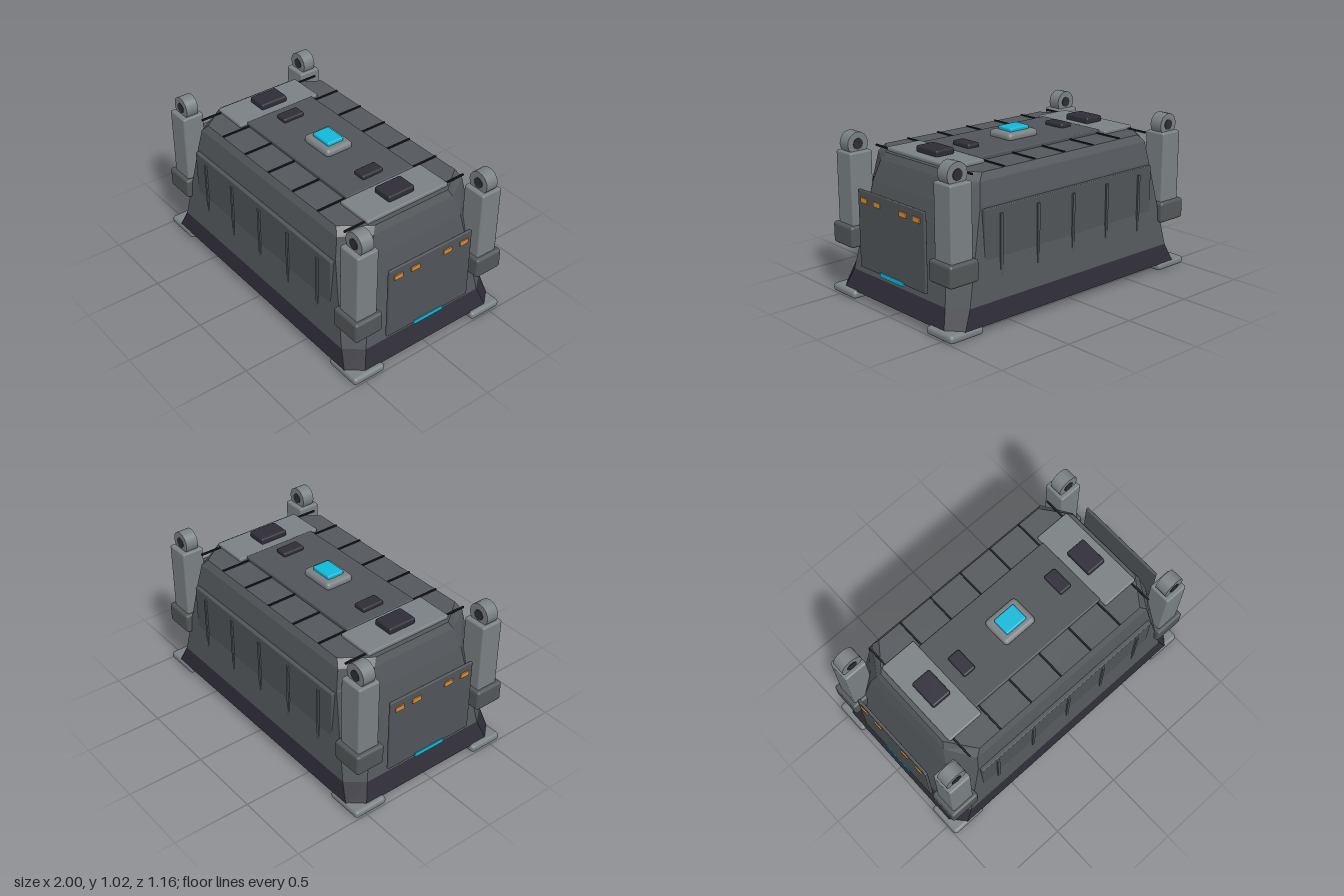
import * as THREE from 'three';
import { RoundedBoxGeometry } from 'three/addons/geometries/RoundedBoxGeometry.js';

const mat = (name, color, extra = {}) => {
  const m = new THREE.MeshStandardMaterial({ color, ...extra });
  m.name = name;
  return m;
};

// Flat-shaded loft through chamfered rectangles: [y, halfX, halfZ, cornerX, cornerZ]
function loft(sections, capTop, capBottom) {
  const rings = sections.map(([y, X, Z, cx, cz]) =>
    [[X, cz], [X, -cz], [cx, -Z], [-cx, -Z], [-X, -cz], [-X, cz], [-cx, Z], [cx, Z]].map(([x, z]) => [x, y, z]));
  const p = [];
  const tri = (a, b, c) => p.push(...a, ...b, ...c);
  for (let r = 0; r < rings.length - 1; r++) {
    const lo = rings[r], hi = rings[r + 1];
    for (let i = 0; i < 8; i++) {
      const j = (i + 1) % 8;
      tri(lo[i], lo[j], hi[j]);
      tri(lo[i], hi[j], hi[i]);
    }
  }
  const top = rings[rings.length - 1], bottom = rings[0];
  for (let i = 1; i < 7; i++) {
    if (capTop) tri(top[0], top[i], top[i + 1]);
    if (capBottom) tri(bottom[0], bottom[i + 1], bottom[i]);
  }
  const g = new THREE.BufferGeometry();
  g.setAttribute('position', new THREE.Float32BufferAttribute(p, 3));
  g.computeVertexNormals();
  return g;
}

export function createModel() {
  const root = new THREE.Group();
  root.name = 'cargoContainer';

  const hullGrey = mat('hullGrey', 0x54585c, { flatShading: true });
  const panelGrey = mat('panelGrey', 0x505458);
  const lightGrey = mat('lightGrey', 0x7a8083);
  const collarGrey = mat('collarGrey', 0x525658);
  const dark = mat('darkTrim', 0x2e2d37);
  const black = mat('seamBlack', 0x1c1c20);
  const cyan = mat('cyanLight', 0x10b8d8);
  const orange = mat('orangeLight', 0xd98e30);

  const add = (name, geo, material, x = 0, y = 0, z = 0, parent = root) => {
    const m = new THREE.Mesh(geo, material);
    m.name = name;
    m.position.set(x, y, z);
    parent.add(m);
    return m;
  };
  // Rounded box given by its centre in x and z, and its bottom and top
  const block = (name, material, [w, d], [y0, y1], [x, z] = [0, 0], r = 0.01, parent = root) =>
    add(name, new RoundedBoxGeometry(w, y1 - y0, d, 2, r), material, x, (y0 + y1) / 2, z, parent);
  const box = (name, material, [w, d], [y0, y1], [x, z] = [0, 0], parent = root) =>
    add(name, new THREE.BoxGeometry(w, y1 - y0, d), material, x, (y0 + y1) / 2, z, parent);

  // Hull: dark skirt, then sloping walls and bevelled shoulders
  const skirtTop = [0.17, 0.925, 0.55, 0.835, 0.44];
  add('skirt', loft([[0.05, 0.97, 0.572, 0.89, 0.48], skirtTop], false, true), dark);
  add('hull', loft([
    skirtTop,
    [0.735, 0.83, 0.5, 0.71, 0.345],
    [0.87, 0.8, 0.475, 0.69, 0.3],
    [0.915, 0.78, 0.45, 0.65, 0.275],
  ], true, false), hullGrey);

  // Skid rails below the hull
  for (const z of [-0.314, 0, 0.314]) box('skidRail', lightGrey, [1.45, 0.03], [0.008, 0.027], [0, z]);

  // Corner assemblies: foot, post, collar and lifting lug
  for (const sx of [-1, 1]) for (const sz of [-1, 1]) {
    const corner = new THREE.Group();
    corner.name = 'cornerPost';
    root.add(corner);
    block('foot', lightGrey, [0.247, 0.23], [0.004, 0.056], [sx * 0.876, sz * 0.464], 0.022, corner);
    block('post', lightGrey, [0.16, 0.15], [0.34, 0.912], [sx * 0.877, sz * 0.465], 0.012, corner);
    block('collar', collarGrey, [0.21, 0.198], [0.325, 0.46], [sx * 0.88, sz * 0.467], 0.018, corner);
    const lug = add('liftingLug', new THREE.CylinderGeometry(0.073, 0.073, 0.084, 16), lightGrey,
      sx * 0.877, 0.955, sz * 0.464, corner);
    lug.rotation.x = Math.PI / 2;
    const pin = add('lugPin', new THREE.CylinderGeometry(0.034, 0.034, 0.092, 16), dark,
      sx * 0.877, 0.955, sz * 0.464, corner);
    pin.rotation.x = Math.PI / 2;
  }

  // Long wall panels with upright ribs
  for (const sz of [-1, 1]) {
    block('wallPanel', panelGrey, [1.4, 0.03], [0.3, 0.72], [0, sz * 0.513], 0.006);
    for (const x of [-0.58, -0.29, 0, 0.29, 0.58])
      box('wallRib', panelGrey, [0.018, 0.03], [0.31, 0.68], [x, sz * 0.523]);
  }

  // End panels with marker lights and a lower light strip
  for (const sx of [-1, 1]) {
    block('endPanel', panelGrey, [0.02, 0.63], [0.225, 0.715], [sx * 0.955, 0], 0.006);
    for (const z of [-0.25, -0.123, 0.123, 0.25])
      box('markerLight', orange, [0.009, 0.063], [0.641, 0.671], [sx * 0.968, z]);
    box('lightStrip', cyan, [0.03, 0.224], [0.214, 0.241], [sx * 0.955, 0]);
  }

  // Roof seams
  for (let i = -3; i <= 3; i++) box('roofSeam', black, [0.011, 0.9], [0.912, 0.923], [i * 0.241, 0]);

  // Roof plates and hatches
  block('roofPlate', panelGrey, [1.01, 0.51], [0.91, 0.94], [0, 0], 0.008);
  for (const sx of [-1, 1]) {
    block('roofEndPlate', lightGrey, [0.25, 0.61], [0.91, 0.938], [sx * 0.627, 0], 0.01);
    block('largeHatch', dark, [0.136, 0.194], [0.932, 0.976], [sx * 0.624, 0], 0.012);
    block('smallHatch', dark, [0.088, 0.154], [0.932, 0.966], [sx * 0.388, 0], 0.012);
  }

  // Central beacon
  block('beaconBase', lightGrey, [0.245, 0.2], [0.925, 0.982], [0, 0], 0.027);
  block('beaconLight', cyan, [0.156, 0.12], [0.97, 1.004], [0, 0], 0.01);

  return root;
}
